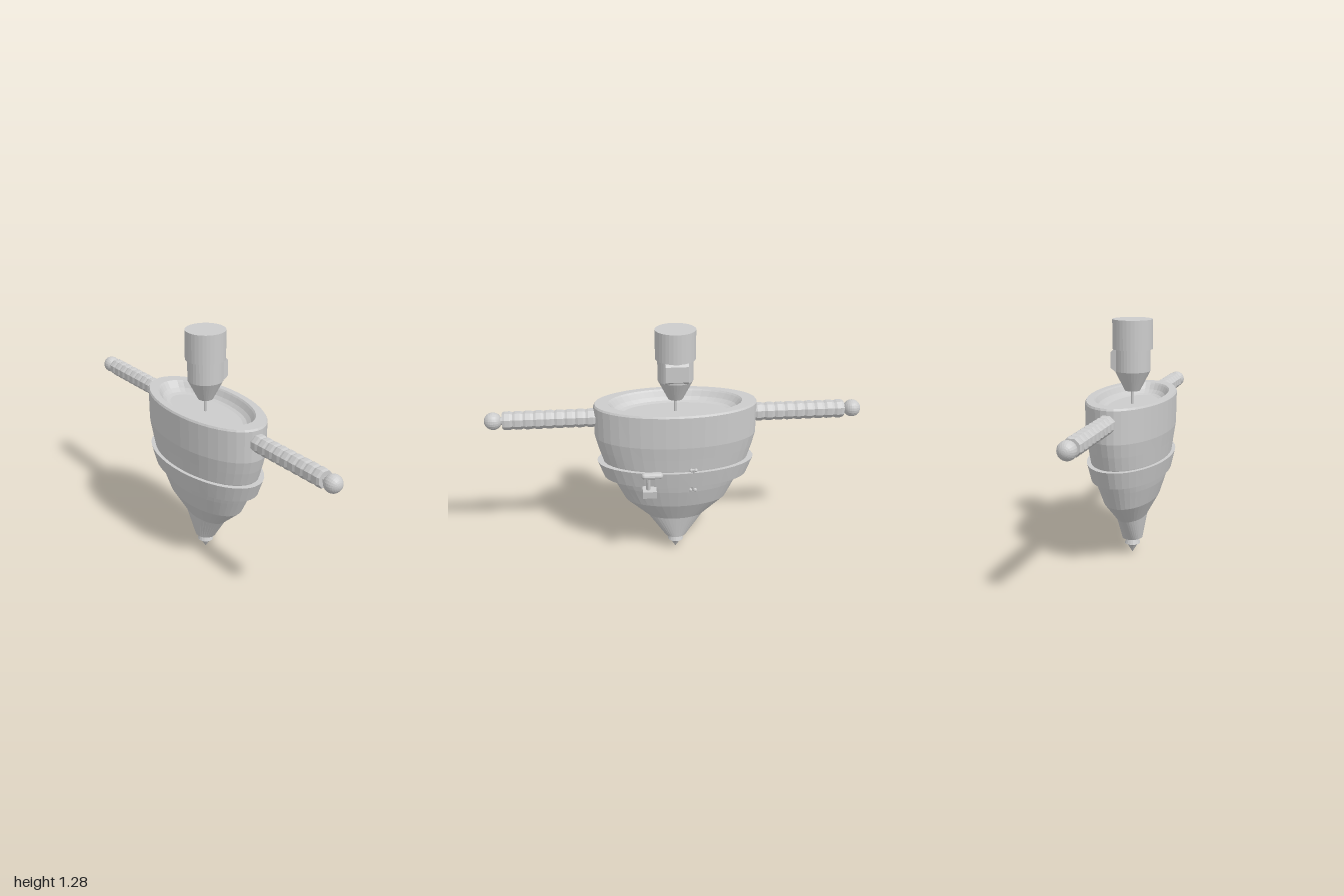
import * as THREE from 'three';

const material = new THREE.MeshStandardMaterial({ color: 0xcccccc, flatShading: true, side: THREE.DoubleSide });

function add(parent, name, geometry, x = 0, y = 0, z = 0) {
  const mesh = new THREE.Mesh(geometry, material);
  mesh.name = name;
  mesh.position.set(x, y, z);
  parent.add(mesh);
  return mesh;
}

// Stacks elliptical rings [y, radiusX, radiusZ] into one skin
function loft(rings, sides = 32) {
  const geometry = new THREE.LatheGeometry(rings.map((r, i) => new THREE.Vector2(1, i)), sides);
  const p = geometry.attributes.position;
  for (let i = 0; i < p.count; i++) {
    const [y, rx, rz] = rings[Math.round(p.getY(i))];
    p.setXYZ(i, p.getX(i) * rx, y, p.getZ(i) * rz);
  }
  geometry.computeVertexNormals();
  return geometry;
}

// Round profile given as [radius, y]
const turned = (profile, sides = 32) => loft(profile.map(([r, y]) => [y, r, r]), sides);

// Cylinder between two points
function rod(parent, name, a, b, radius) {
  const from = new THREE.Vector3(...a), to = new THREE.Vector3(...b);
  const dir = to.clone().sub(from);
  const mesh = add(parent, name, new THREE.CylinderGeometry(radius, radius, dir.length(), 10));
  mesh.position.copy(from).add(to).multiplyScalar(0.5);
  mesh.quaternion.setFromUnitVectors(new THREE.Vector3(0, 1, 0), dir.normalize());
  return mesh;
}

export function createModel() {
  const model = new THREE.Group();
  model.name = 'model';
  // Everything turns about an axis slightly right of centre
  const core = new THREE.Group();
  core.name = 'core';
  core.position.x = -0.015;
  model.add(core);

  // Oval body with rounded rim and sunken dish
  add(core, 'body', loft([
    [0.088, 0, 0], [0.088, 0.055, 0.06], [0.22, 0.075, 0.152], [0.33, 0.135, 0.275],
    [0.43, 0.167, 0.325], [0.5, 0.183, 0.36], [0.57, 0.194, 0.39], [0.64, 0.203, 0.412],
    [0.71, 0.213, 0.43], [0.88, 0.216, 0.432], [0.89, 0.21, 0.426],
    [0.89, 0.177, 0.355], [0.882, 0.17, 0.347], [0.855, 0.155, 0.325],
    [0.838, 0.138, 0.3], [0.832, 0.12, 0.275], [0.832, 0, 0],
  ], 40));

  // Tapered band round the waist
  add(core, 'band', loft([
    [0.473, 0.165, 0.335], [0.473, 0.192, 0.387], [0.565, 0.212, 0.422], [0.565, 0.185, 0.38],
  ], 40));

  // Nozzle and pointed tip
  add(core, 'nozzle', turned([
    [0, 0.04], [0.024, 0.04], [0.032, 0.047], [0.043, 0.053], [0.03, 0.09],
  ], 16));
  add(core, 'tip', turned([[0, 0], [0.026, 0.042], [0, 0.042]], 16));

  // Ridged side grips with ball ends
  const ridges = 9, length = 0.485, start = 0.42;
  const gripProfile = [];
  for (let i = 0; i < ridges; i++) {
    const y = start + (i / ridges) * length;
    gripProfile.push([0.044, y], [0.049, y + 0.014], [0.049, y + 0.04]);
  }
  gripProfile.push([0.044, start + length], [0.02, start + length], [0.02, 0.925]);
  for (const side of [1, -1]) {
    const handle = new THREE.Group();
    handle.name = side > 0 ? 'frontHandle' : 'backHandle';
    handle.position.y = 0.813;
    handle.rotation.x = side * Math.PI / 2;
    core.add(handle);
    const grip = add(handle, 'grip', turned(gripProfile, 8));
    grip.rotation.y = Math.PI / 8;
    add(handle, 'ball', new THREE.SphereGeometry(0.046, 20, 14), 0, 0.954, 0);
  }

  // Upper cylinder, tapered below, with wide cap and needle
  const head = new THREE.Group();
  head.name = 'head';
  core.add(head);
  add(head, 'barrel', turned([[0, 0.907], [0.04, 0.907], [0.094, 1.012], [0.094, 1.13]]));
  add(head, 'cap', turned([[0, 1.128], [0.106, 1.128], [0.106, 1.283], [0, 1.283]]));
  add(head, 'needle', new THREE.CylinderGeometry(0.008, 0.008, 0.08, 10), 0, 0.875, 0);

  // Side panel with chamfered top and bottom
  const side = new THREE.Shape([
    [0.04, 1.012], [0.078, 1.012], [0.101, 1.03], [0.101, 1.113], [0.085, 1.13], [0.04, 1.13],
  ].map(([x, y]) => new THREE.Vector2(x, y)));
  add(head, 'sidePanel', new THREE.ExtrudeGeometry(side, { depth: 0.12, bevelEnabled: false }), 0, 0, -0.06);

  // Lever on the left side: block, leaning stem, rounded crossbar
  const lever = new THREE.Group();
  lever.name = 'lever';
  model.add(lever);
  const block = add(lever, 'leverBlock', new THREE.BoxGeometry(0.058, 0.04, 0.072), 0.185, 0.46, 0.155);
  block.rotation.z = -0.12;
  rod(lever, 'leverStem', [0.186, 0.47, 0.162], [0.2, 0.565, 0.162], 0.011);
  const bar = add(lever, 'leverBar', new THREE.CapsuleGeometry(0.017, 0.08, 5, 12), 0.203, 0.566, 0.141);
  bar.rotation.x = Math.PI / 2;
  bar.scale.x = 1.35;

  // Thin latch rod with a pair of knobs at each end
  const latch = new THREE.Group();
  latch.name = 'latch';
  model.add(latch);
  rod(latch, 'latchRod', [0.158, 0.445, -0.076], [0.191, 0.585, -0.076], 0.007);
  for (const z of [-0.064, -0.088]) {
    add(latch, 'upperKnob', new THREE.SphereGeometry(0.01, 10, 8), 0.189, 0.58, z);
    add(latch, 'lowerKnob', new THREE.SphereGeometry(0.01, 10, 8), 0.16, 0.45, z);
  }
  return model;
}
